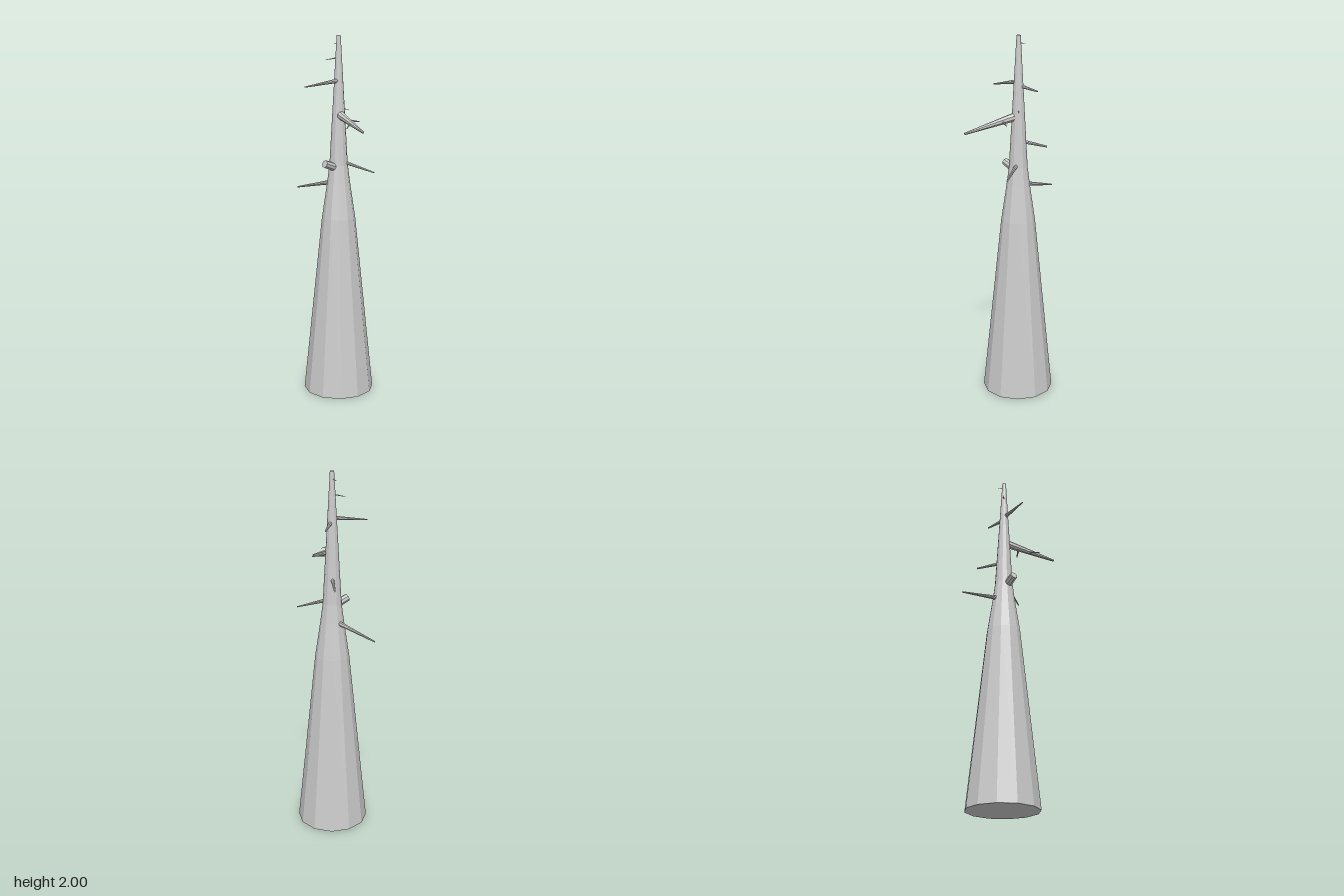
import * as THREE from 'three';

export function createModel() {
  const group = new THREE.Group();
  const material = new THREE.MeshStandardMaterial({ color: 0xcccccc, flatShading: true });

  // Tapered twelve-sided trunk, closed at both ends: [radius, height]
  const profile = [[0, 0], [0.198, 0], [0.094, 1], [0.064, 1.2], [0.051, 1.3], [0.011, 2], [0, 2]];
  const trunk = new THREE.Mesh(
    new THREE.LatheGeometry(profile.map(([r, y]) => new THREE.Vector2(r, y)), 12), material);
  trunk.name = 'trunk';
  trunk.position.set(0.014, 0, -0.045);
  group.add(trunk);

  // Tapered round limb between two points, its root sunk a little into its parent
  function addLimb(name, from, to, rootRadius, tipRadius, sink = 0.01) {
    const start = new THREE.Vector3(...from);
    const end = new THREE.Vector3(...to);
    const dir = end.clone().sub(start).normalize();
    start.addScaledVector(dir, -sink);
    const limb = new THREE.Mesh(
      new THREE.CylinderGeometry(tipRadius, rootRadius, start.distanceTo(end), 8), material);
    limb.name = name;
    limb.position.copy(start).add(end).multiplyScalar(0.5);
    limb.quaternion.setFromUnitVectors(new THREE.Vector3(0, 1, 0), dir);
    group.add(limb);
  }

  // Drooping branches, lowest first
  addLimb('lowBackBranch', [-0.033, 1.195, -0.088], [-0.212, 1.148, -0.238], 0.013, 0.004);
  addLimb('brokenStub', [-0.015, 1.29, -0.015], [-0.066, 1.312, 0.026], 0.023, 0.021);
  addLimb('leftBranch', [0.064, 1.308, -0.03], [0.208, 1.26, 0.016], 0.01, 0.003);
  addLimb('backBranch', [0.01, 1.434, -0.09], [-0.003, 1.408, -0.2], 0.01, 0.005);
  addLimb('frontBranch', [0.028, 1.569, -0.01], [0.124, 1.498, 0.238], 0.023, 0.006);
  addLimb('highBackBranch', [0.025, 1.732, -0.073], [0.045, 1.71, -0.146], 0.01, 0.004);
  addLimb('highFrontBranch', [0, 1.757, -0.03], [-0.172, 1.727, 0.091], 0.012, 0.003);

  // Twigs growing from the front branch
  addLimb('frontTwig', [0.05, 1.55, 0.037], [0.122, 1.54, 0.018], 0.007, 0.003, 0);
  addLimb('frontTwig', [0.065, 1.534, 0.1], [0.045, 1.513, 0.164], 0.006, 0.002, 0);

  // Tiny twigs near the top
  addLimb('topTwig', [0.035, 1.61, -0.045], [0.072, 1.6, -0.046], 0.004, 0.001);
  addLimb('topTwig', [0.003, 1.88, -0.044], [-0.057, 1.869, -0.041], 0.004, 0.001);
  addLimb('topTwig', [0.008, 1.96, -0.053], [-0.009, 1.954, -0.08], 0.003, 0.001);

  return group;
}
